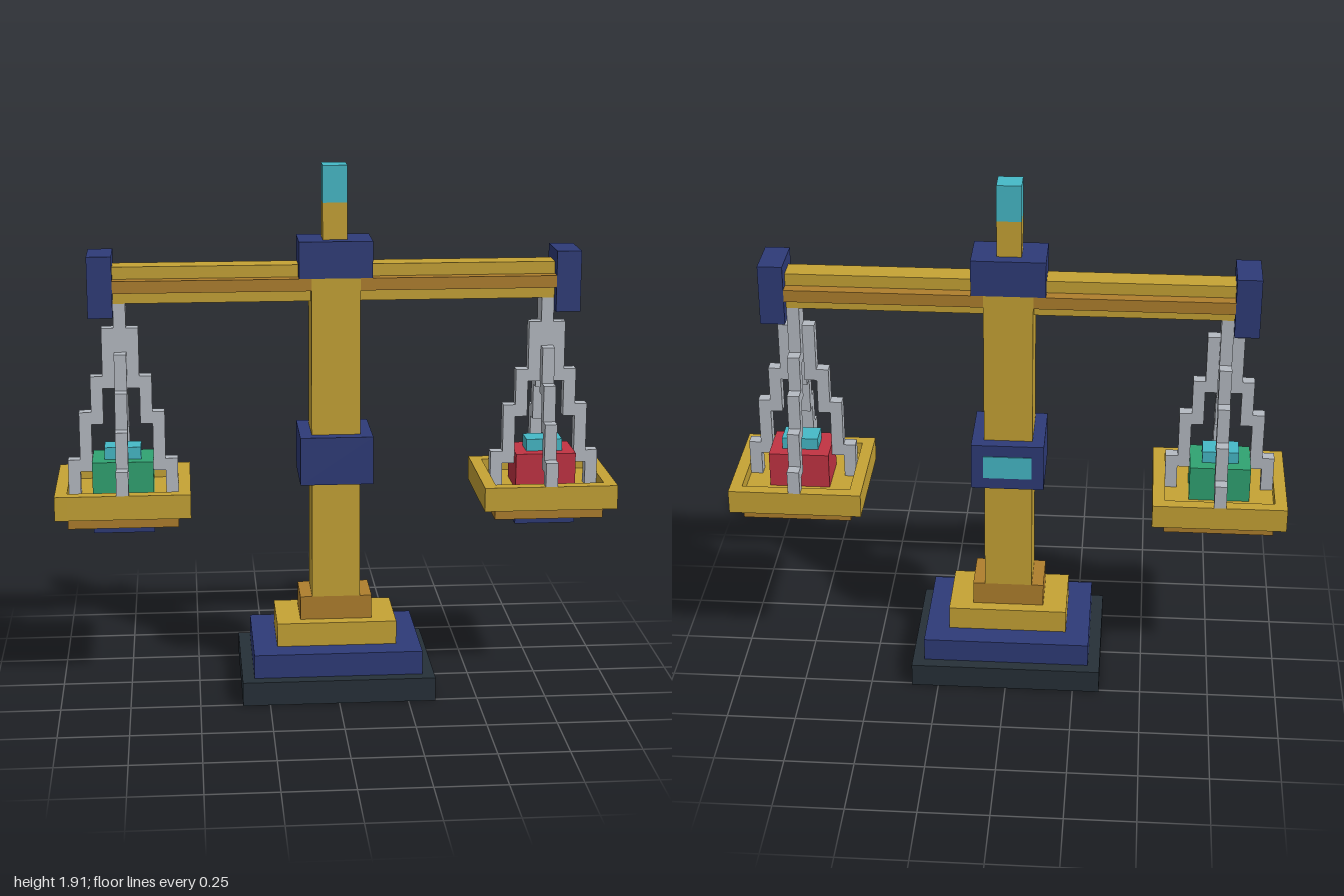
import * as THREE from 'three';

const U = 1 / 23; // block unit: the scale is 46 blocks wide

const mat = (name, color) => {
  const m = new THREE.MeshStandardMaterial({ color });
  m.name = name;
  return m;
};

export function createModel() {
  const gold = mat('gold', 0xc6a335);
  const bronze = mat('bronze', 0xaf7f2d);
  const navy = mat('navy', 0x2e3b78);
  const slate = mat('slate', 0x263038);
  const silver = mat('silver', 0xb6bbc3);
  const cyan = mat('cyan', 0x46bac8);
  const red = mat('red', 0xc23343);
  const green = mat('green', 0x30a372);

  // Box between block coordinates [min, max] on each axis
  const block = (parent, name, material, x, y, z) => {
    const g = new THREE.BoxGeometry((x[1] - x[0]) * U, (y[1] - y[0]) * U, (z[1] - z[0]) * U);
    const m = new THREE.Mesh(g, material);
    m.name = name;
    m.position.set((x[0] + x[1]) * U / 2, (y[0] + y[1]) * U / 2, (z[0] + z[1]) * U / 2);
    parent.add(m);
    return m;
  };
  const pm = (v) => [-v, v];

  const model = new THREE.Group();
  model.name = 'balanceScale';

  // Stepped base
  block(model, 'foot', slate, pm(8), [0, 2], pm(6));
  block(model, 'lowerStep', navy, pm(7), [2, 4], pm(5));
  block(model, 'middleStep', gold, pm(5), [4, 6], pm(3));
  block(model, 'upperStep', bronze, pm(3), [6, 8], pm(2));

  // Column with collar, and a plate on the back of the collar
  block(model, 'column', gold, pm(2), [8, 35], pm(2));
  block(model, 'collar', navy, pm(3), [18, 22], pm(3));
  block(model, 'collarPlate', cyan, pm(2), [19, 21], [-3.08, -3]);

  // Hub and finial
  block(model, 'hub', navy, pm(3), [35, 38], pm(2));
  block(model, 'finialStem', gold, pm(1), [38, 41], pm(1));
  block(model, 'finialTip', cyan, pm(1), [41, 44], pm(1));

  // Tops of the stepped chain links, from the beam outwards
  const crossTops = [33, 31, 27, 24, 20];
  const depthTops = [33, 29, 26, 23, 20];

  for (const side of [-1, 1]) {
    const arm = new THREE.Group();
    arm.name = side > 0 ? 'leftArm' : 'rightArm';
    model.add(arm);
    const sx = (a, b) => (side > 0 ? [a, b] : [-b, -a]);

    // Beam half: wide bronze core between narrow gold strips
    block(arm, 'beamCore', bronze, sx(2, 18), [34, 35], pm(2));
    block(arm, 'beamTop', gold, sx(2, 18), [35, 36], pm(1));
    block(arm, 'beamBottom', gold, sx(2, 18), [33, 34], pm(1));
    block(arm, 'beamEnd', navy, sx(18, 20), [32, 37], pm(2));

    // Pan: floor, raised rim and stepped underside
    block(arm, 'panFloor', gold, sx(13, 22), [16, 17], pm(4));
    block(arm, 'panRimInner', gold, sx(12, 13), [16, 18], pm(5));
    block(arm, 'panRimOuter', gold, sx(22, 23), [16, 18], pm(5));
    block(arm, 'panRimFront', gold, sx(13, 22), [16, 18], [4, 5]);
    block(arm, 'panRimBack', gold, sx(13, 22), [16, 18], [-5, -4]);
    block(arm, 'panUnderside', bronze, sx(13, 22), [15, 16], pm(4));
    block(arm, 'panBoss', navy, sx(15, 20), [14, 15], pm(2));

    // Weight with a small cap
    block(arm, 'weight', side > 0 ? red : green, sx(15, 20), [17, 20], pm(2));
    block(arm, 'weightCap', cyan, sx(16, 19), [20, 21], pm(1));

    // Four chains stepping outwards, each link overlapping the next by a block
    for (let i = 0; i < 5; i++) {
      const cross = [i < 4 ? crossTops[i + 1] - 1 : 17, crossTops[i]];
      const depth = [i < 4 ? depthTops[i + 1] - 1 : 18, depthTops[i]];
      block(arm, 'chainFront', silver, sx(17, 18), depth, [i, i + 1]);
      block(arm, 'chainBack', silver, sx(17, 18), depth, [-i - 1, -i]);
      if (i > 0) {
        block(arm, 'chainOuter', silver, sx(17 + i, 18 + i), cross, [0, 1]);
        block(arm, 'chainInner', silver, sx(17 - i, 18 - i), cross, [0, 1]);
      }
    }
  }
  return model;
}
